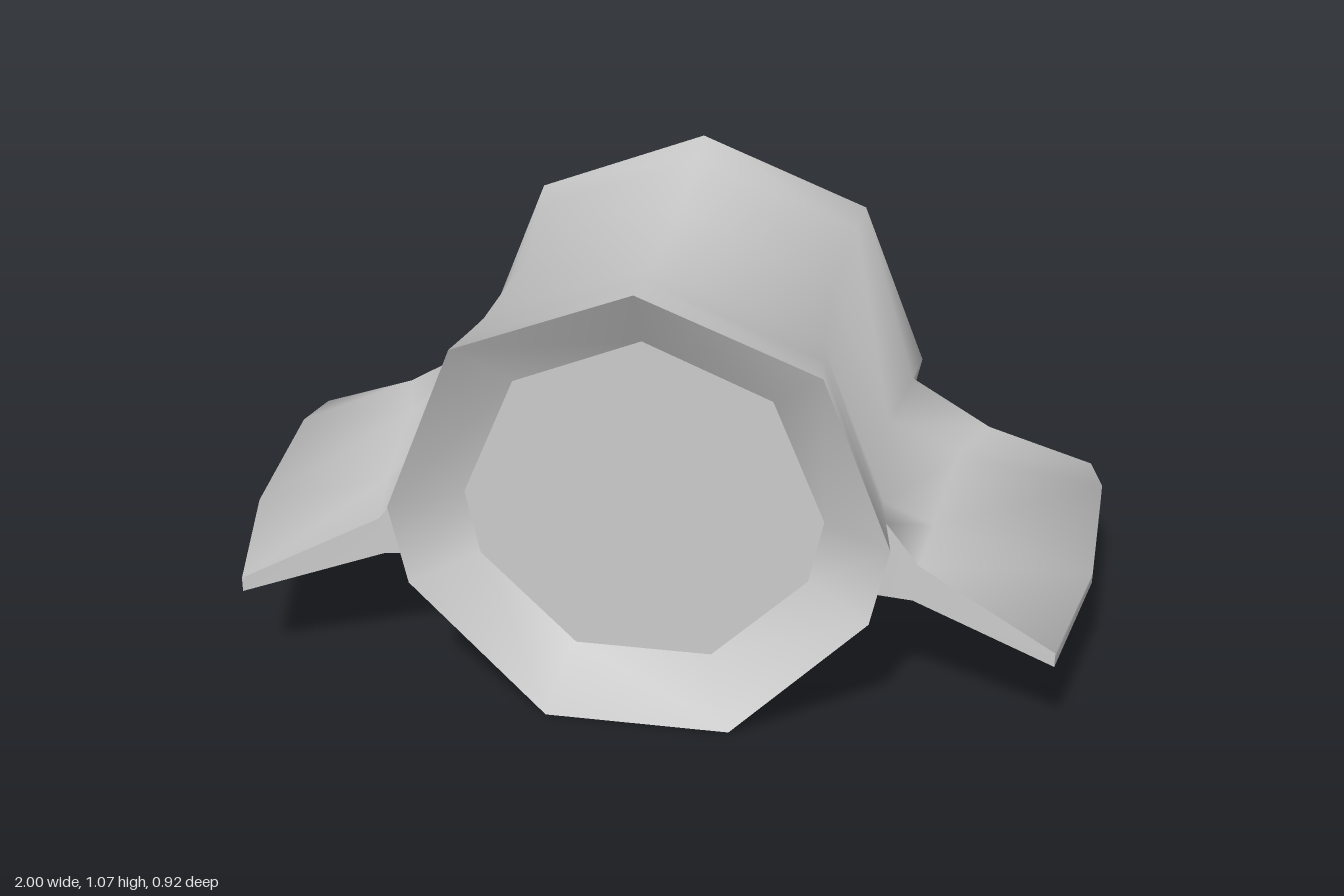
import * as THREE from 'three';
import { mergeGeometries, toCreasedNormals } from 'three/addons/utils/BufferGeometryUtils.js';

// Skin a list of closed rings of [x, y, z] points, leaving out the quads in skip(i, j)
function loft(rings, skip = () => false) {
  const n = rings[0].length, index = [];
  for (let i = 0; i < rings.length - 1; i++) {
    for (let j = 0; j < n; j++) {
      if (skip(i, j)) continue;
      const a = i * n + j, b = i * n + (j + 1) % n, c = b + n, d = a + n;
      index.push(a, d, c, a, c, b);
    }
  }
  const geo = new THREE.BufferGeometry();
  geo.setAttribute('position', new THREE.Float32BufferAttribute(rings.flat(2), 3));
  geo.setIndex(index);
  geo.computeVertexNormals();
  return geo;
}

export function createModel() {
  const group = new THREE.Group();
  const material = new THREE.MeshStandardMaterial({ color: 0xcccccc });
  const add = (name, geo) => {
    const mesh = new THREE.Mesh(geo, material);
    mesh.name = name;
    group.add(mesh);
  };

  // Nine-sided outlines, counter-clockwise from the front
  const outline = (top, half) => [...half, [0, top], ...half.map(([x, y]) => [-x, y]).reverse()];
  const outer = outline(1.07, [[0.21, 0], [0.515, 0.32], [0.555, 0.51], [0.4, 0.91]]);
  const inner = outline(0.92, [[0.155, 0.145], [0.37, 0.36], [0.402, 0.515], [0.285, 0.8]]);
  const ring = (pts, s, z) => pts.map(([x, y]) => [x * s, 0.535 + (y - 0.535) * s, z]);
  const centre = z => inner.map(() => [0, 0.53, z]);

  // Waisted barrel, open on both sides where the fins grow out
  const rows = [[1, 0.46], [0.963, 0.345], [0.935, 0.25], [0.893, -0.12], [0.953, -0.355], [0.98, -0.46]]
    .map(([s, z]) => ring(outer, s, z));
  const barrel = loft(rows, (i, j) => i > 0 && i < 4 && (j === 1 || j === 6));

  // Side fins: each station runs front to back on top, then back to front below
  const roots = rows.slice(1, 5);
  const stations = [
    [...roots.map(r => r[2]), ...roots.map(r => r[1]).reverse()],
    [
      [0.61, 0.41, 0.345], [0.63, 0.43, 0.2], [0.66, 0.43, -0.14], [0.72, 0.395, -0.355],
      [0.64, 0.31, -0.355], [0.61, 0.31, -0.14], [0.6, 0.31, 0.2], [0.6, 0.32, 0.345],
    ],
    [
      [0.92, 0.265, 0.42], [0.99, 0.265, 0.07], [1, 0.272, -0.33], [0.97, 0.268, -0.445],
      [0.97, 0.252, -0.445], [1, 0.23, -0.33], [0.99, 0.24, 0.07], [0.92, 0.23, 0.42],
    ],
  ];
  // Pinch the last station shut along its middle line
  const tip = stations[2];
  stations.push(tip.map(([x, y, z], k) => [x, (y + tip[7 - k][1]) / 2, z]));

  const fins = [1, -1].map(side => loft(stations.map(station => {
    const pts = station.map(([x, y, z]) => [side * x, y, z]);
    return side < 0 ? pts.reverse() : pts;
  })));
  add('barrelWithFins', toCreasedNormals(mergeGeometries([barrel, ...fins]), 1.3));

  // Sloping rims and recessed end discs
  const frontInner = ring(inner, 1, 0.37), backInner = ring(inner, 0.98, -0.37);
  add('frontRim', loft([frontInner, rows[0]]));
  add('backRim', loft([rows[5], backInner]));
  add('frontDisc', loft([centre(0.37), frontInner]));
  add('backDisc', loft([backInner, centre(-0.37)]));
  return group;
}
